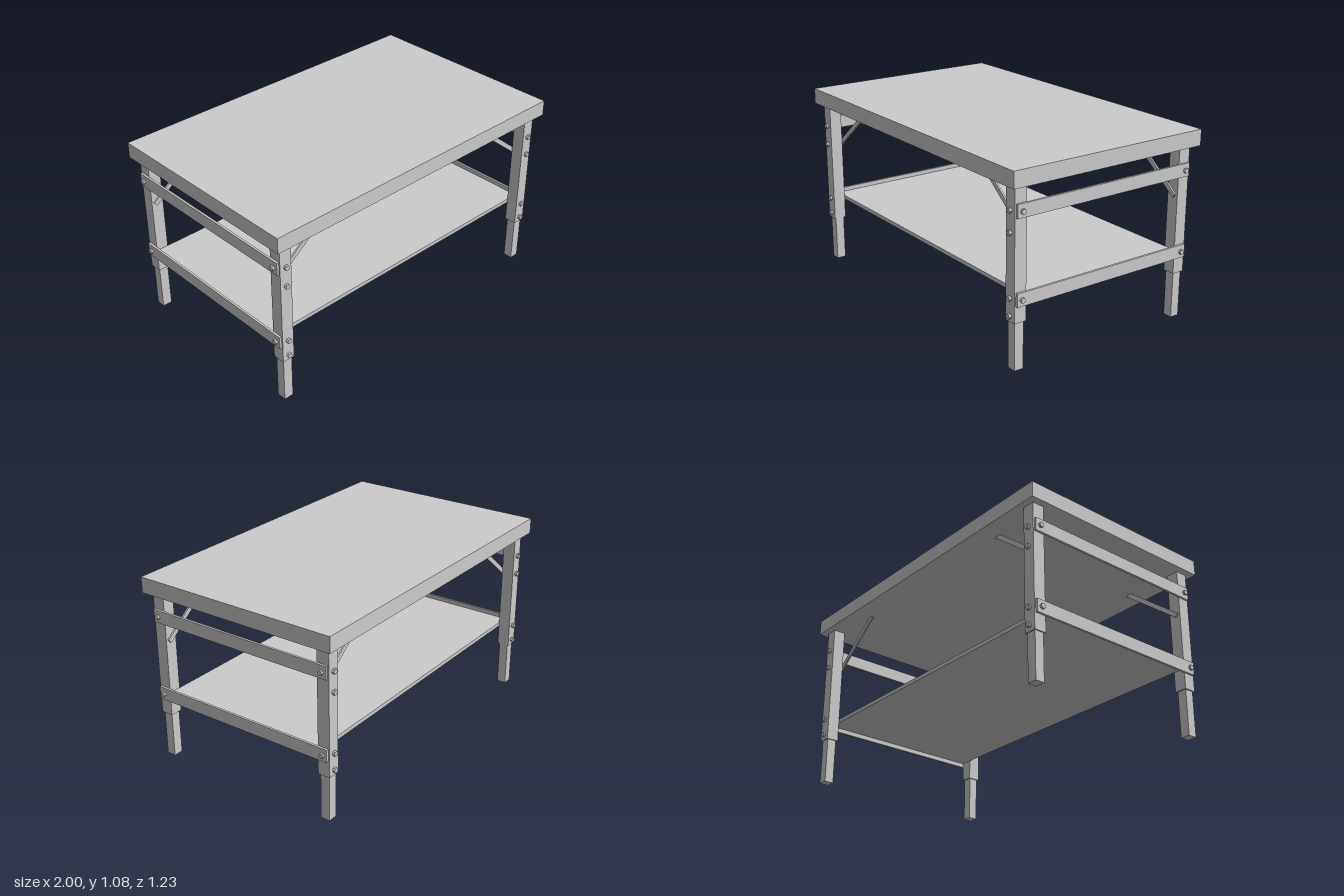
import * as THREE from 'three';

const material = new THREE.MeshStandardMaterial({ color: 0xcccccc, flatShading: true });

// Box given by its minimum and maximum corners
function box(name, min, max) {
  const size = max.map((v, i) => v - min[i]);
  const mesh = new THREE.Mesh(new THREE.BoxGeometry(...size), material);
  mesh.position.set(...min.map((v, i) => v + size[i] / 2));
  mesh.name = name;
  return mesh;
}

// Hexagonal bolt head whose axis lies along x or z
function bolt(name, axis, x, y, z) {
  const geometry = new THREE.CylinderGeometry(0.0148, 0.0148, 0.018, 6);
  if (axis === 'x') geometry.rotateZ(Math.PI / 2);
  else geometry.rotateY(Math.PI / 2).rotateX(Math.PI / 2);
  const mesh = new THREE.Mesh(geometry, material);
  mesh.position.set(x, y, z);
  mesh.name = name;
  return mesh;
}

// Leg assembly at the corner given by the signs sx and sz
function leg(sx, sz) {
  const group = new THREE.Group();
  group.name = (sz > 0 ? 'front' : 'back') + (sx > 0 ? 'Left' : 'Right') + 'Leg';
  const x = sx * 0.924, z = sz * 0.541;

  // Outer sleeve and the narrower telescoping foot
  group.add(box('legSleeve', [x - 0.036, 0.265, z - 0.036], [x + 0.036, 0.985, z + 0.036]));
  group.add(box('legFoot', [x - 0.028, 0, z - 0.027], [x + 0.028, 0.3, z + 0.027]));

  // Bolts through the outer face
  for (const y of [0.297, 0.393, 0.738, 0.853]) {
    group.add(bolt('legBolt', 'z', x, y, sz * 0.583));
  }

  // Flat diagonal brace from the sleeve to the tabletop
  const from = new THREE.Vector2(0.942, 0.711), to = new THREE.Vector2(0.588, 0.991);
  const length = from.distanceTo(to);
  const brace = new THREE.Mesh(new THREE.BoxGeometry(length, 0.027, 0.01), material);
  brace.position.set(sx * (from.x + to.x) / 2, (from.y + to.y) / 2, sz * 0.5);
  brace.rotation.z = -sx * Math.atan2(to.y - from.y, from.x - to.x);
  brace.name = 'diagonalBrace';
  group.add(brace);
  return group;
}

export function createModel() {
  const model = new THREE.Group();
  model.name = 'workTable';

  // Tabletop and lower shelf
  model.add(box('tabletop', [-1, 0.985, -0.615], [1, 1.075, 0.615]));
  model.add(box('lowerShelf', [-0.96, 0.382, -0.505], [0.96, 0.405, 0.505]));

  for (const sx of [-1, 1]) {
    for (const sz of [-1, 1]) model.add(leg(sx, sz));

    // End rails with a bolt at each end
    for (const [name, y] of [['upperRail', 0.856], ['lowerRail', 0.393]]) {
      const rail = new THREE.Group();
      rail.name = name;
      const x = sx * 0.9665;
      rail.add(box('railBar', [x - 0.0065, y - 0.037, -0.569], [x + 0.0065, y + 0.037, 0.569]));
      for (const sz of [-1, 1]) rail.add(bolt('railBolt', 'x', sx * 0.977, y - 0.002, sz * 0.54));
      model.add(rail);
    }
  }
  return model;
}
